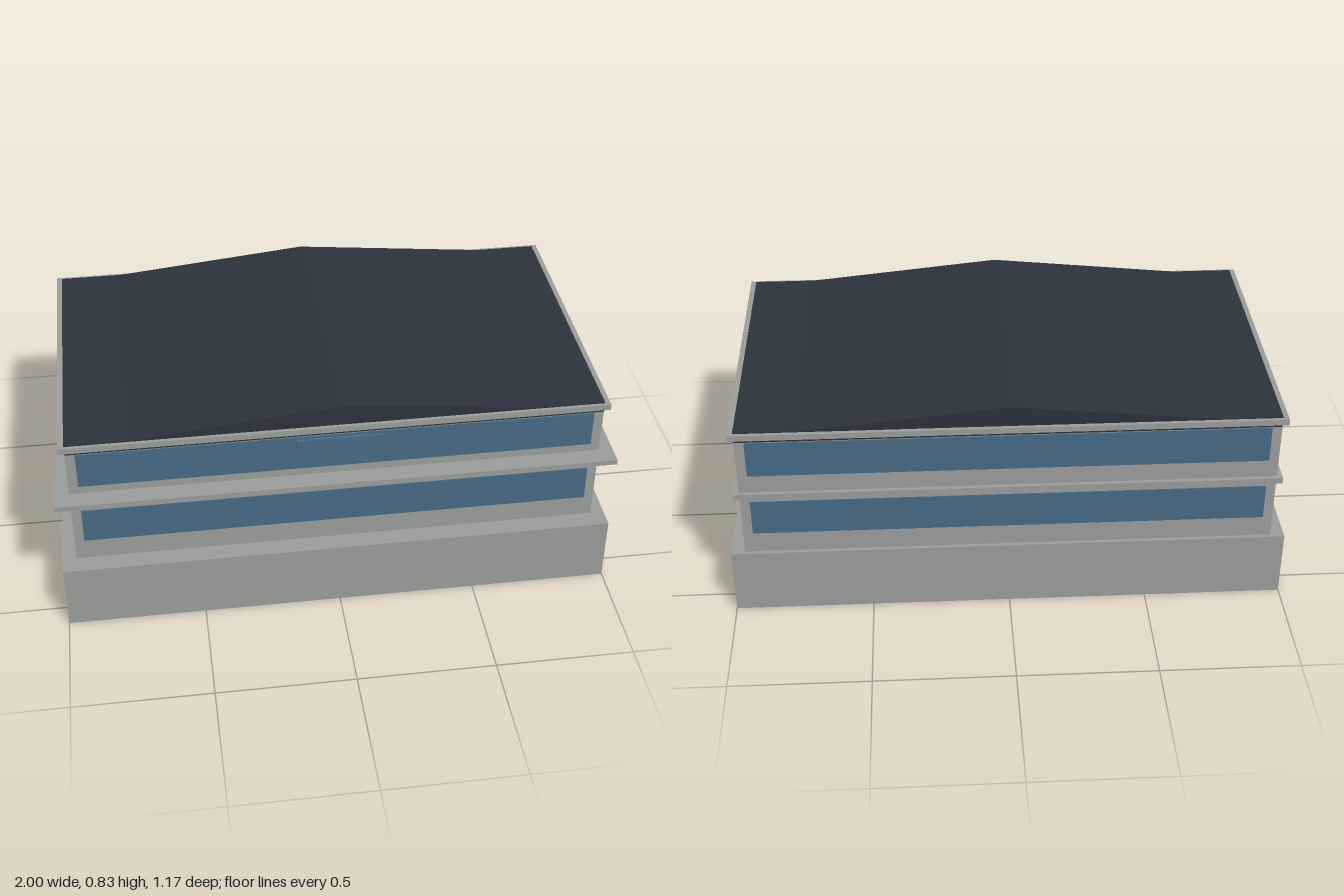
import * as THREE from 'three';

export function createModel() {
  const group = new THREE.Group();
  const material = (name, color) => {
    const m = new THREE.MeshStandardMaterial({ color });
    m.name = name;
    return m;
  };
  const concrete = material('concrete grey', 0x9c9e9c);
  const glass = material('window blue', 0x476b86);
  const slate = material('roof slate', 0x2b333c);

  // Box given by its half width and its y and z ranges
  const box = (name, mat, halfX, y0, y1, z0, z1) => {
    const mesh = new THREE.Mesh(new THREE.BoxGeometry(2 * halfX, y1 - y0, z1 - z0), mat);
    mesh.position.set(0, (y0 + y1) / 2, (z0 + z1) / 2);
    mesh.name = name;
    group.add(mesh);
  };

  const front = 0.515, back = -0.57;

  // Plinth and main block
  box('plinth', concrete, 1, 0, 0.25, -0.584, 0.584);
  box('walls', concrete, 0.95, 0.25, 0.72, back, front);

  // Floor and roof ledges, entrance canopy
  box('floorLedge', concrete, 0.97, 0.488, 0.51, -0.584, 0.528);
  box('roofLedge', concrete, 0.97, 0.735, 0.757, -0.584, 0.528);
  box('canopy', concrete, 1, 0.53, 0.549, 0.293, 0.584);

  // Window bands on the front and back of each storey
  for (const [y0, y1] of [[0.333, 0.469], [0.581, 0.718]]) {
    box('frontWindow', glass, 0.915, y0, y1, front, front + 0.004);
    box('backWindow', glass, 0.915, y0, y1, back - 0.004, back);
  }

  // Blank panel in front of the upper windows
  box('frontPanel', glass, 0.152, 0.682, 0.715, 0.526, 0.538);

  // Roof slab with a low gable
  box('roofSlab', slate, 0.95, 0.72, 0.761, back, front);
  const gable = new THREE.Shape([[-0.76, 0.757], [0.76, 0.757], [0, 0.834]].map((p) => new THREE.Vector2(...p)));
  const roof = new THREE.Mesh(
    new THREE.ExtrudeGeometry(gable, { depth: front - back, bevelEnabled: false }), slate);
  roof.position.z = back;
  roof.name = 'gableRoof';
  group.add(roof);

  return group;
}
